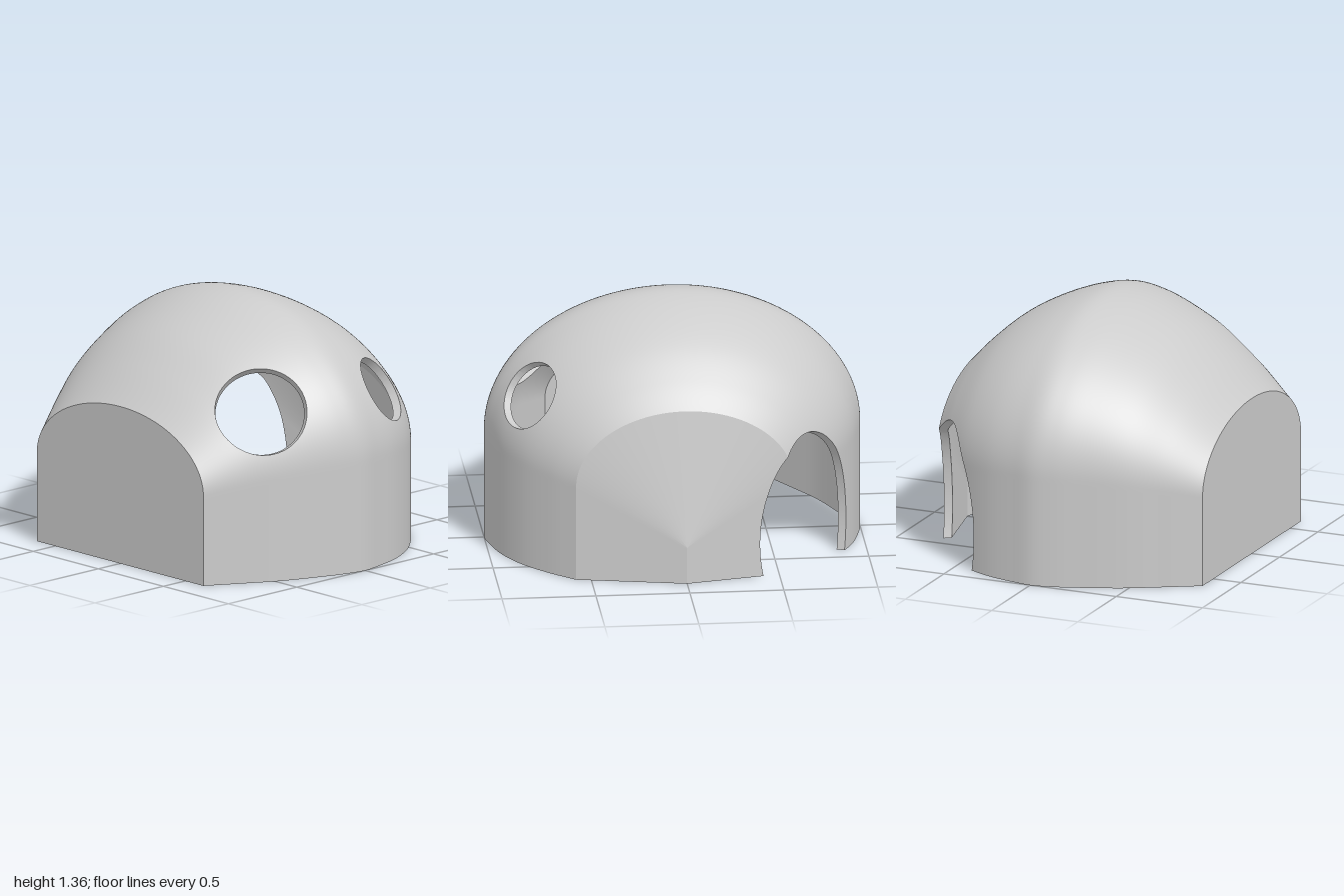
import * as THREE from 'three';
import { toCreasedNormals } from 'three/addons/utils/BufferGeometryUtils.js';

const V = (x, y, z) => new THREE.Vector3(x, y, z);
const THICK = 0.04;
const WALL = 22, ARCH = 80, N = WALL * 2 + ARCH, BASE = 24;

// half-width, roof height and z of the cross-sections, front to back
const stations = new THREE.CatmullRomCurve3([
  [0.64, 0.86, 0.84], [0.75, 1.04, 0.65], [0.85, 1.18, 0.47], [0.93, 1.285, 0.27], [0.98, 1.34, 0.12],
  [1, 1.36, 0], [0.98, 1.34, -0.12], [0.935, 1.28, -0.28], [0.845, 1.185, -0.45], [0.71, 1.05, -0.61],
  [0.58, 0.925, -0.73],
].map((p) => V(...p)));

// one point of a section: straight wall, elliptical arch, straight wall
function sectionPoint(u, s, inset) {
  const w = s.x - inset, h = s.y - inset, z = s.z * (1 - inset / 0.84);
  const spring = 0.6 - 0.11 * (s.z / 0.84) ** 2;
  if (u <= WALL) return V(w, spring * u / WALL, z);
  if (u >= N - WALL) return V(-w, spring * (N - u) / WALL, z);
  const a = Math.PI * (u - WALL) / ARCH;
  return V(w * Math.cos(a), spring + (h - spring) * Math.sin(a), z);
}

// openings: elliptical cylinders along an outward axis
const opening = (centre, axis, rx, ry) => {
  const n = V(...axis).normalize(), right = V(0, 1, 0).cross(n).normalize();
  return { c: V(...centre), n, right, up: n.clone().cross(right), rx, ry };
};
const openings = [
  opening([0.69, 0.9, 0.465], [0.66, 0.56, 0.495], 0.245, 0.245), // front window
  opening([0.785, 0.895, -0.315], [0.745, 0.47, -0.47], 0.187, 0.187), // rear window
  opening([-0.645, 0.18, -0.575], [-0.62, 0, -0.785], 0.315, 0.56), // doorway
];
function outside(p) {
  let f = 1;
  for (const o of openings) {
    if (p.dot(o.n) < 0.2) continue;
    const d = p.clone().sub(o.c);
    f = Math.min(f, Math.hypot(d.dot(o.right) / o.rx, d.dot(o.up) / o.ry) - 1);
  }
  return f;
}

// keep the part of a polygon that lies outside the openings
function clip(poly) {
  const out = [];
  poly.forEach((a, k) => {
    const b = poly[(k + 1) % poly.length];
    if (a.f >= 0) out.push(a);
    if (a.f * b.f < 0) {
      const t = a.f / (a.f - b.f);
      out.push({ o: a.o.clone().lerp(b.o, t), i: a.i.clone().lerp(b.i, t), f: 0 });
    }
  });
  return out;
}

// double-walled patch from point(u, v, inset), with rims on the cuts and on the ground edge
function shell(name, u0, u1, nv, point, crease, material) {
  const skin = [], rim = [];
  const tri = (list, a, b, c) => {
    if (b.clone().sub(a).cross(c.clone().sub(a)).length() < 1e-10) return;
    list.push(...a.toArray(), ...b.toArray(), ...c.toArray());
  };
  const grid = [];
  for (let v = 0; v <= nv; v++) {
    grid.push([]);
    for (let u = u0; u <= u1; u++) {
      const o = point(u, v / nv, 0);
      grid[v].push({ o, i: point(u, v / nv, THICK), f: outside(o) });
    }
  }
  const addFace = (face) => {
    const p = clip(face);
    for (let k = 1; k + 1 < p.length; k++) {
      tri(skin, p[0].o, p[k].o, p[k + 1].o);
      tri(skin, p[0].i, p[k + 1].i, p[k].i);
    }
    p.forEach((a, k) => {
      const b = p[(k + 1) % p.length];
      const cut = a.f === 0 && b.f === 0, ground = a.o.y < 1e-6 && b.o.y < 1e-6;
      if (!cut && !ground) return;
      tri(rim, b.o, a.o, a.i);
      tri(rim, b.o, a.i, b.i);
    });
  };
  for (let v = 0; v < nv; v++) {
    for (let u = 0; u < u1 - u0; u++) {
      const a = grid[v][u], b = grid[v + 1][u], c = grid[v + 1][u + 1], d = grid[v][u + 1];
      addFace([a, b, c]);
      addFace([a, c, d]);
    }
  }
  const group = new THREE.Group();
  group.name = name;
  for (const [part, list] of [['Skin', skin], ['Rim', rim]]) {
    const g = new THREE.BufferGeometry();
    g.setAttribute('position', new THREE.Float32BufferAttribute(list, 3));
    const mesh = new THREE.Mesh(toCreasedNormals(g, crease), material);
    mesh.name = name + part;
    group.add(mesh);
  }
  return group;
}

export function createModel() {
  const model = new THREE.Group();
  model.name = 'domeShelter';
  const material = new THREE.MeshStandardMaterial({ color: 0xcccccc, side: THREE.DoubleSide });
  const first = stations.getPoint(0), last = stations.getPoint(1);

  // vaulted body
  model.add(shell('body', 0, N, 90, (u, v, t) => sectionPoint(u, stations.getPoint(v), t), 0.5, material));

  // flat front wall
  model.add(shell('frontWall', 0, N, 12, (u, v, t) =>
    V(0, 0, 0.84 - t).lerp(sectionPoint(u, first, t), v), 0.15, material));

  // back wall, folded out to a low point in the middle
  model.add(shell('backWall', -BASE, N + BASE, 40, (u, v, t) => {
    const edge = sectionPoint(THREE.MathUtils.clamp(u, 0, N), last, t);
    const over = Math.max(-u, u - N, 0) / BASE;
    edge.lerp(V(0, 0, t - 0.85), over);
    return edge.lerp(V(0, 0.2, t - 0.85), v);
  }, 0.12, material));

  return model;
}
